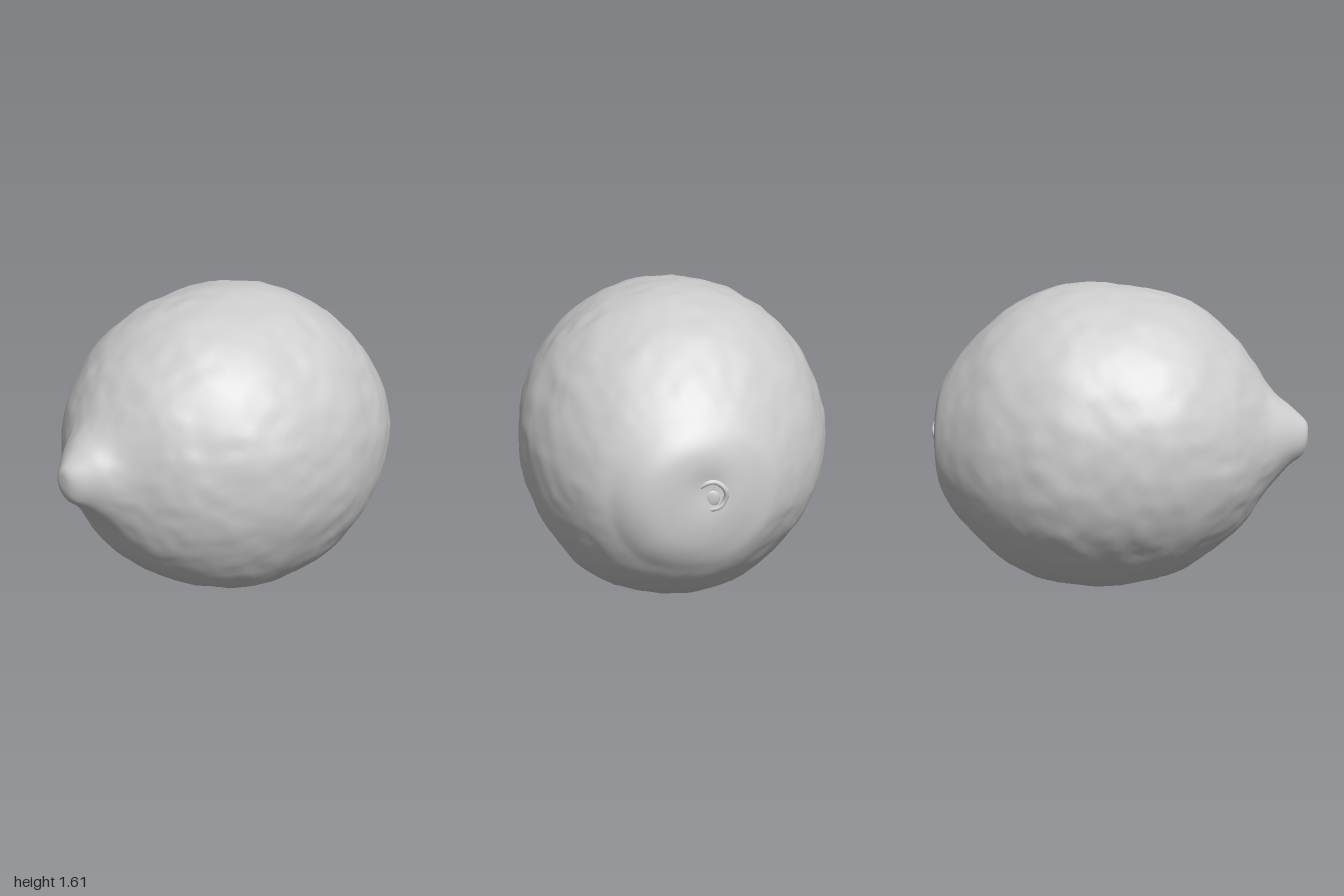
import * as THREE from 'three';

// Small repeatable value noise for the pitted peel
function hash(x, y, z) {
  const s = Math.sin(x * 127.1 + y * 311.7 + z * 74.7) * 43758.5453;
  return (s - Math.floor(s)) * 2 - 1;
}
function noise(x, y, z) {
  const [i, j, k] = [x, y, z].map(Math.floor);
  const [u, v, w] = [x - i, y - j, z - k].map((t) => t * t * (3 - 2 * t));
  let sum = 0;
  for (let n = 0; n < 8; n++) {
    const a = n & 1, b = (n >> 1) & 1, c = n >> 2;
    sum += hash(i + a, j + b, k + c) * (a ? u : 1 - u) * (b ? v : 1 - v) * (c ? w : 1 - w);
  }
  return sum;
}

// Stations along the fruit: x, top y, bottom y, back z, front z
const STATIONS = [
  [-1.0, 0.86, 0.859, -0.041, -0.04],
  [-0.995, 0.91, 0.8, -0.085, 0.0],
  [-0.97, 0.945, 0.745, -0.12, 0.045],
  [-0.9, 1.005, 0.685, -0.19, 0.12],
  [-0.8, 1.09, 0.56, -0.29, 0.225],
  [-0.7, 1.23, 0.4, -0.43, 0.39],
  [-0.6, 1.35, 0.285, -0.54, 0.515],
  [-0.4, 1.505, 0.135, -0.685, 0.675],
  [-0.2, 1.575, 0.05, -0.76, 0.755],
  [0.0, 1.607, 0.008, -0.79, 0.785],
  [0.2, 1.61, 0.003, -0.795, 0.79],
  [0.4, 1.565, 0.035, -0.745, 0.75],
  [0.6, 1.46, 0.13, -0.65, 0.67],
  [0.8, 1.27, 0.285, -0.475, 0.54],
  [0.9, 1.14, 0.41, -0.36, 0.42],
  [0.95, 1.05, 0.52, -0.26, 0.3],
  [0.972, 0.96, 0.63, -0.17, 0.17],
  [0.978, 0.87, 0.75, -0.1, 0.02],
  [0.978, 0.811, 0.809, -0.041, -0.039],
];
const STEM = { x: 0.963, y: 0.81, z: -0.04 };

function peelGeometry(rings, sides) {
  const curve = (a, b) => new THREE.CatmullRomCurve3(
    STATIONS.map((s) => new THREE.Vector3(s[0], s[a], s[b])), false, 'catmullrom', 0.5);
  const vertical = curve(1, 2), depth = curve(3, 4);
  const positions = [], index = [];
  for (let i = 0; i <= rings; i++) {
    const v = vertical.getPoint(i / rings), d = depth.getPoint(i / rings);
    for (let j = 0; j < sides; j++) {
      const a = ((j + (i % 2) / 2) / sides) * Math.PI * 2;
      const cy = Math.cos(a), cz = Math.sin(a);
      let x = v.x;
      // Fuller low at the front, flatter low at the back
      const fullness = 1 + 0.03 * Math.exp(-((a - 2.5) ** 2) / 0.1)
        - 0.025 * Math.exp(-((a - 3.95) ** 2) / 0.12);
      let y = (v.y + v.z) / 2 + cy * fullness * (v.y - v.z) / 2;
      let z = (d.y + d.z) / 2 + cz * fullness * (d.z - d.y) / 2;
      // Slanted stem end with a shallow hollow
      x += 0.11 * (z - STEM.z) * THREE.MathUtils.smoothstep(x, 0.89, 0.975);
      if (x > 0.8) x -= 0.02 * Math.exp(-((y - 0.85) ** 2 + (z + 0.03) ** 2) / 0.01);
      // Peel bumps, calmer at the two ends
      const calm = 1 - 0.9 * THREE.MathUtils.smoothstep(Math.abs(x), 0.72, 0.95);
      const bump = calm * (0.005 * noise(x * 6, y * 6, z * 6)
        + 0.006 * noise(x * 13, y * 17, z * 17) + 0.002 * noise(x * 24, y * 30, z * 30));
      y += cy * bump;
      z += cz * bump;
      positions.push(x, Math.max(y, 0), z);
      if (i < rings) {
        const k = (j + 1) % sides, p = i * sides, q = p + sides;
        if (i % 2) index.push(p + j, p + k, q + k, p + j, q + k, q + j);
        else index.push(p + j, p + k, q + j, p + k, q + k, q + j);
      }
    }
  }
  const geometry = new THREE.BufferGeometry();
  geometry.setAttribute('position', new THREE.Float32BufferAttribute(positions, 3));
  geometry.setIndex(index);
  geometry.computeVertexNormals();
  return geometry;
}

export function createModel() {
  const model = new THREE.Group();
  model.name = 'lemon';
  const peel = new THREE.MeshStandardMaterial({ color: 0xcccccc });
  peel.name = 'peel grey';

  const body = new THREE.Mesh(peelGeometry(126, 110), peel);
  body.name = 'peel';
  model.add(body);

  // Stem scar: a raised, uneven rim around a small button
  const scar = new THREE.Group();
  scar.name = 'stemScar';
  scar.position.set(STEM.x, STEM.y, STEM.z);
  scar.rotation.y = Math.PI / 2 - 0.11;

  const rimGeometry = new THREE.TorusGeometry(0.069, 0.012, 8, 40);
  const p = rimGeometry.attributes.position;
  for (let i = 0; i < p.count; i++) {
    const a = Math.atan2(p.getY(i), p.getX(i));
    const s = 1 + 0.02 * Math.sin(2 * a + 1) + 0.012 * Math.sin(5 * a);
    p.setXYZ(i, p.getX(i) * s, p.getY(i) * s, p.getZ(i) + 0.003 * Math.sin(4 * a));
  }
  rimGeometry.computeVertexNormals();
  const rim = new THREE.Mesh(rimGeometry, peel);
  rim.name = 'scarRim';

  const button = new THREE.Mesh(new THREE.SphereGeometry(0.035, 16, 10), peel);
  button.name = 'scarButton';
  button.scale.set(1, 1.1, 0.25);
  button.position.set(0.005, -0.012, 0);
  scar.add(rim, button);
  model.add(scar);
  return model;
}
